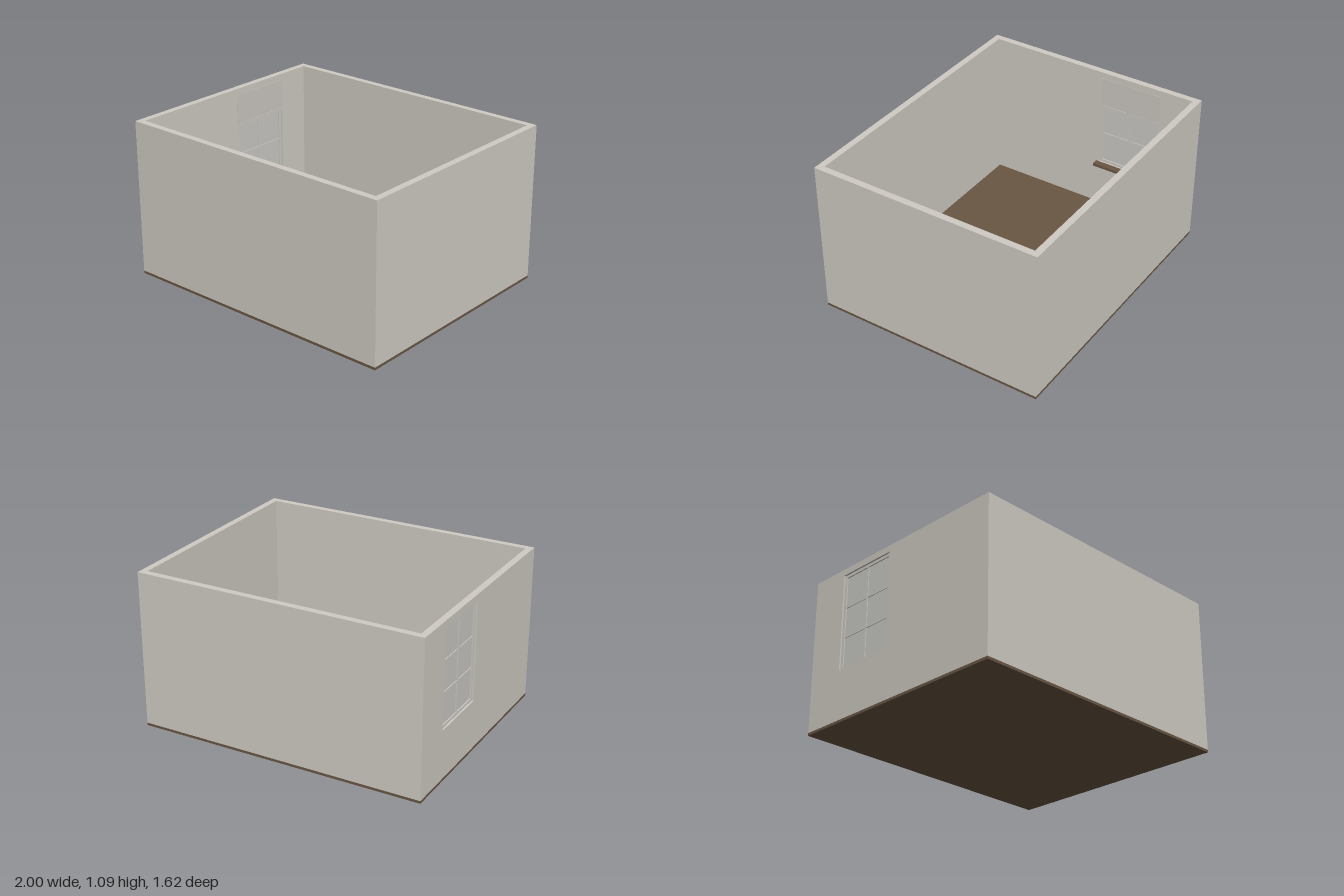
import * as THREE from 'three';

const wallMat = new THREE.MeshStandardMaterial({ color: 0xd0ccc4 });
wallMat.name = 'wall plaster';
const floorMat = new THREE.MeshStandardMaterial({ color: 0x6a5744 });
floorMat.name = 'brown wood';
const frameMat = new THREE.MeshStandardMaterial({ color: 0xcfccc5 });
frameMat.name = 'window frame paint';
const glassMat = new THREE.MeshStandardMaterial({ color: 0xcbcac6 });
glassMat.name = 'window glass';
const blindMat = new THREE.MeshStandardMaterial({ color: 0xcdc9c2 });
blindMat.name = 'blind fabric';

// Box given by its lower and upper corners
function box(parent, name, mat, [x0, y0, z0], [x1, y1, z1]) {
  const mesh = new THREE.Mesh(new THREE.BoxGeometry(x1 - x0, y1 - y0, z1 - z0), mat);
  mesh.position.set((x0 + x1) / 2, (y0 + y1) / 2, (z0 + z1) / 2);
  mesh.name = name;
  parent.add(mesh);
}

export function createModel() {
  const room = new THREE.Group();
  room.name = 'room';
  const W = 1, D = 0.808, H = 1.085, F = 0.018, T = 0.045;
  const iD = D - T, iW = W - T;

  // Floor slab and the three solid walls
  box(room, 'floor', floorMat, [-W, 0, -D], [W, F, D]);
  box(room, 'frontWall', wallMat, [-W, F, iD], [W, H, D]);
  box(room, 'backWall', wallMat, [-W, F, -D], [W, H, -iD]);
  box(room, 'leftWall', wallMat, [iW, F, -iD], [W, H, iD]);

  // Right wall with a window opening, drawn in z and y
  const z0 = -0.53, z1 = -0.08, y0 = 0.36, y1 = 1.04;
  const rect = (Type, a, b, c, d) => new Type([[a, b], [c, b], [c, d], [a, d]]
    .map(([u, v]) => new THREE.Vector2(u, v)));
  const shape = rect(THREE.Shape, -iD, F, iD, H);
  shape.holes.push(rect(THREE.Path, z0, y0, z1, y1));
  const wallGeo = new THREE.ExtrudeGeometry(shape, { depth: T, bevelEnabled: false });
  wallGeo.rotateY(-Math.PI / 2);
  const rightWall = new THREE.Mesh(wallGeo, wallMat);
  rightWall.position.x = -iW;
  rightWall.name = 'rightWall';
  room.add(rightWall);

  // Window: outer frame, two by three panes, thin glazing bars
  const win = new THREE.Group();
  win.name = 'window';
  room.add(win);
  const xa = -0.988, xb = -0.968, f = 0.02, b = 0.007;
  box(win, 'frameBottom', frameMat, [xa, y0, z0], [xb, y0 + f, z1]);
  box(win, 'frameTop', frameMat, [xa, y1 - f, z0], [xb, y1, z1]);
  box(win, 'frameSide', frameMat, [xa, y0 + f, z0], [xb, y1 - f, z0 + f]);
  box(win, 'frameSide', frameMat, [xa, y0 + f, z1 - f], [xb, y1 - f, z1]);
  const zm = (z0 + z1) / 2;
  box(win, 'verticalBar', frameMat, [xa + 0.002, y0 + f, zm - b], [xb - 0.002, y1 - f, zm + b]);
  for (let i = 1; i < 3; i++) {
    const y = y0 + f + (i * (y1 - y0 - 2 * f)) / 3;
    box(win, 'horizontalBar', frameMat, [xa + 0.003, y - b, z0 + f], [xb - 0.003, y + b, z1 - f]);
  }
  box(win, 'glass', glassMat, [-0.98, y0 + f, z0 + f], [-0.976, y1 - f, z1 - f]);

  // Roller blind hung on the room side of the window
  box(room, 'blindHeader', blindMat, [-0.964, 1.02, z0], [-0.953, y1, z1]);
  box(room, 'blind', blindMat, [-0.96, 0.83, z0 + 0.004], [-0.956, 1.02, z1 - 0.004]);
  box(room, 'blindBottomBar', blindMat, [-0.963, 0.82, z0 + 0.004], [-0.953, 0.83, z1 - 0.004]);

  // Inner window sill board
  box(room, 'windowSill', floorMat, [-iW, y0 - 0.018, -0.555], [-0.91, y0 + 0.002, -0.06]);
  return room;
}
